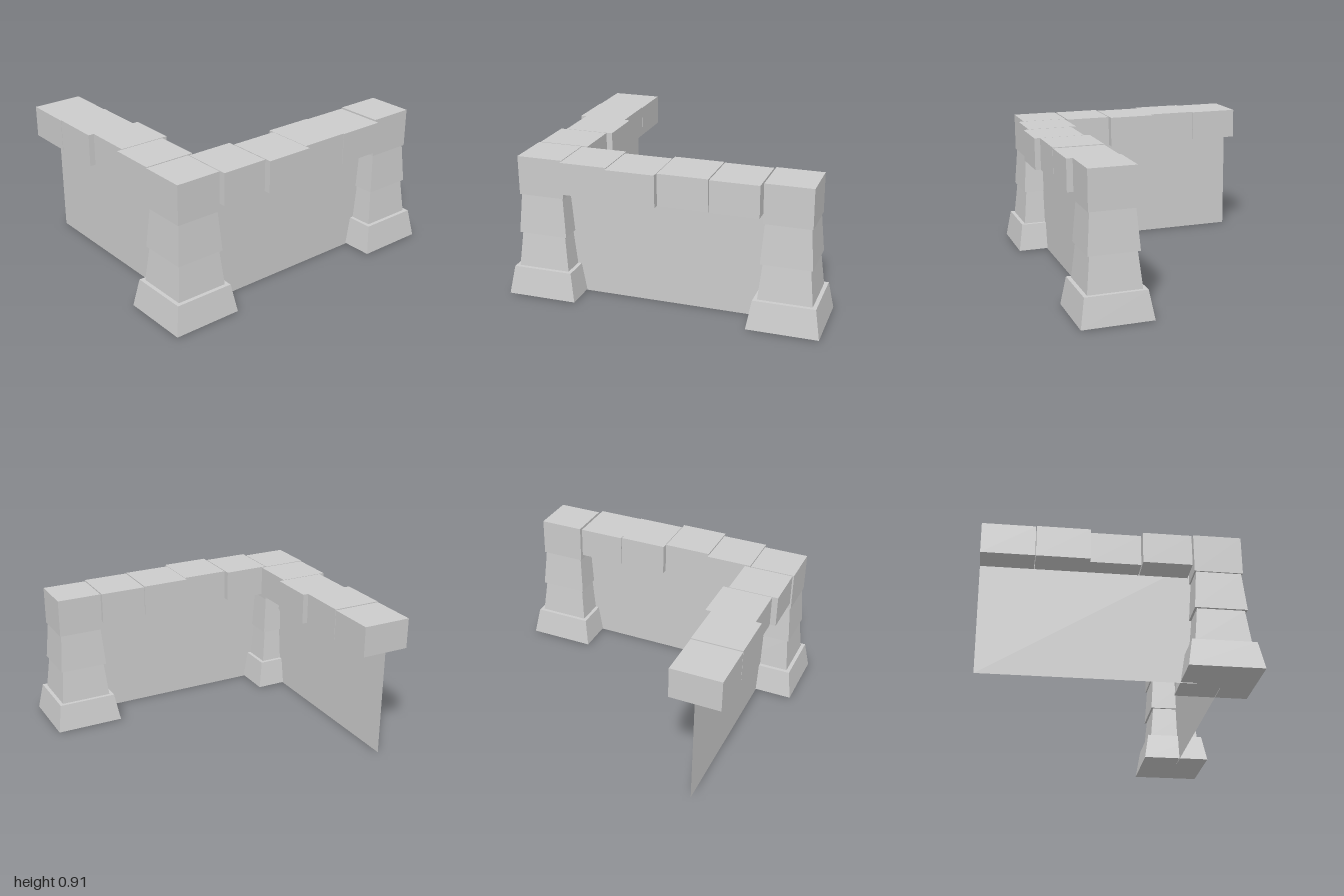
import * as THREE from 'three';

const stone = new THREE.MeshStandardMaterial({ color: 0xcccccc, flatShading: true });
const panel = new THREE.MeshStandardMaterial({ color: 0xcccccc, flatShading: true, side: THREE.DoubleSide });

// Square block with its bottom at y0 that narrows from width w0 to width w1
function taperedBlock(name, y0, y1, w0, w1) {
  const geo = new THREE.BoxGeometry(1, y1 - y0, 1);
  const pos = geo.attributes.position;
  for (let i = 0; i < pos.count; i++) {
    const w = pos.getY(i) > 0 ? w1 : w0;
    pos.setX(i, pos.getX(i) * w);
    pos.setZ(i, pos.getZ(i) * w);
  }
  geo.computeVertexNormals();
  const mesh = new THREE.Mesh(geo, stone);
  mesh.name = name;
  mesh.position.y = (y0 + y1) / 2;
  return mesh;
}

// Box given by its extents
function block(name, x0, x1, y0, y1, z0, z1) {
  const mesh = new THREE.Mesh(new THREE.BoxGeometry(x1 - x0, y1 - y0, z1 - z0), stone);
  mesh.name = name;
  mesh.position.set((x0 + x1) / 2, (y0 + y1) / 2, (z0 + z1) / 2);
  return mesh;
}

function pillar(name, x, z) {
  const g = new THREE.Group();
  g.name = name;
  g.add(
    taperedBlock('pillarBase', 0.005, 0.185, 0.446, 0.384),
    taperedBlock('pillarLowerShaft', 0.185, 0.41, 0.335, 0.288),
    taperedBlock('pillarUpperShaft', 0.41, 0.662, 0.316, 0.276),
    taperedBlock('pillarCap', 0.662, 0.91, 0.294, 0.294)
  );
  g.position.set(x, 0, z);
  return g;
}

export function createModel() {
  const model = new THREE.Group();
  model.name = 'cornerWall';

  // Pillars at the corner and at the back end
  model.add(pillar('cornerPillar', 0.597, 0.777), pillar('backPillar', 0.597, -0.777));

  // Thin wall panels
  const wallTop = 0.81;
  const frontWall = new THREE.Mesh(new THREE.PlaneGeometry(1.295, wallTop), panel);
  frontWall.name = 'frontWall';
  frontWall.position.set(-0.1775, wallTop / 2, 0.755);
  const sideWall = new THREE.Mesh(new THREE.PlaneGeometry(1.36, wallTop), panel);
  sideWall.name = 'sideWall';
  sideWall.rotation.y = Math.PI / 2;
  sideWall.position.set(0.62, wallTop / 2, 0.02);
  model.add(frontWall, sideWall);

  // Coping stones along the front wall: x start, x end, z start, top
  [
    [-0.825, -0.502, 0.592, 0.906],
    [-0.498, -0.173, 0.592, 0.91],
    [-0.173, 0.136, 0.555, 0.91],
    [0.142, 0.441, 0.592, 0.91]
  ].forEach(([x0, x1, z0, top]) =>
    model.add(block('frontCopingStone', x0, x1, 0.706, top, z0, z0 + 0.324)));

  // Coping stones along the side wall: z start, z end, x start, top
  [
    [0.324, 0.625, 0.456, 0.91],
    [0.008, 0.318, 0.492, 0.91],
    [-0.31, 0.005, 0.456, 0.91],
    [-0.618, -0.314, 0.456, 0.906]
  ].forEach(([z0, z1, x0, top]) =>
    model.add(block('sideCopingStone', x0, x0 + 0.324, 0.706, top, z0, z1)));

  return model;
}
